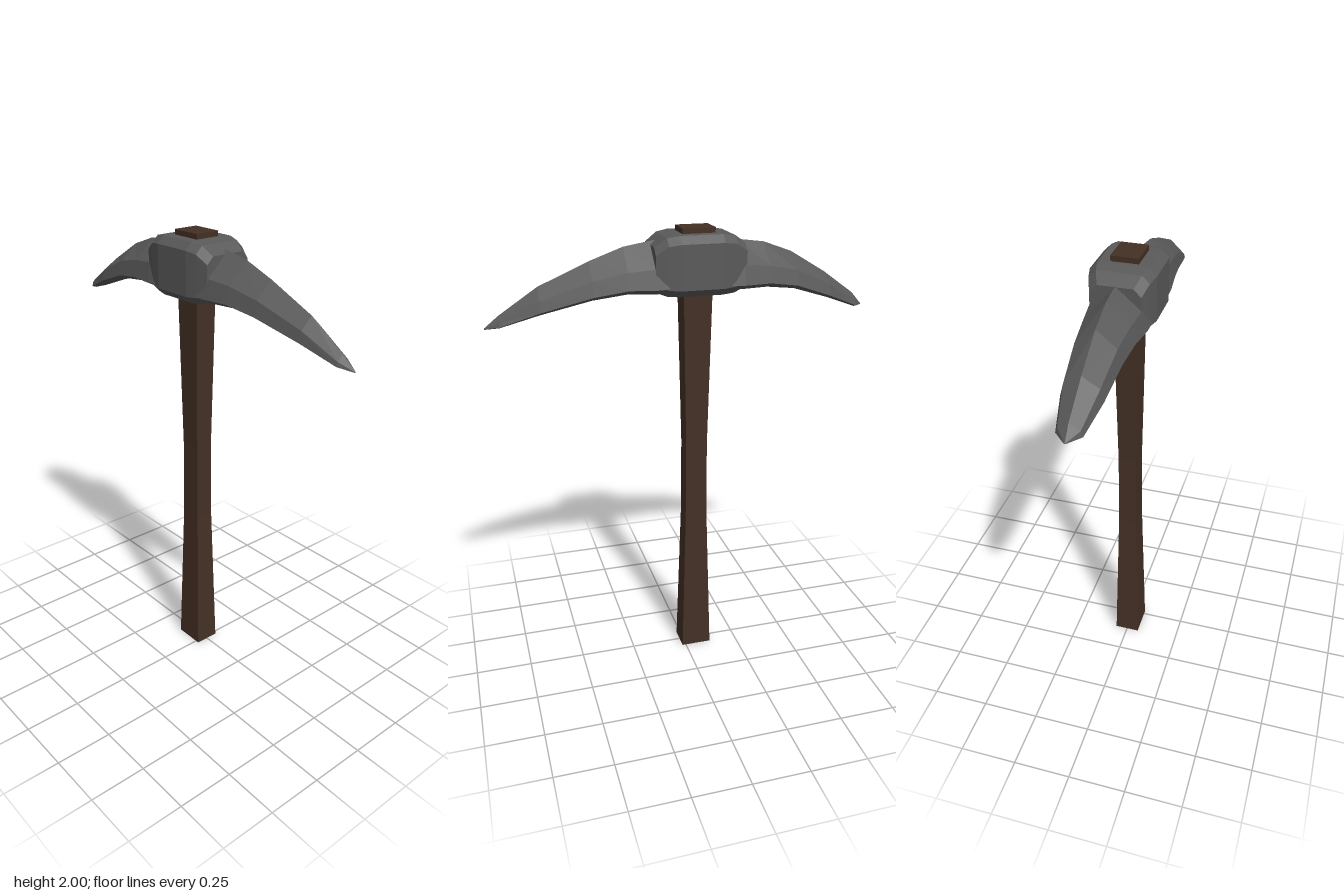
import * as THREE from 'three';

// Skin a list of closed rings (counter-clockwise about the loft direction) and cap both ends.
function loft(rings) {
  const pos = [];
  const tri = (a, b, c) => pos.push(...a, ...b, ...c);
  const n = rings[0].length;
  for (let i = 0; i < rings.length - 1; i++) {
    for (let j = 0; j < n; j++) {
      const k = (j + 1) % n;
      const [p, q] = [rings[i], rings[i + 1]];
      tri(p[j], p[k], q[k]);
      tri(p[j], q[k], q[j]);
    }
  }
  const first = rings[0], last = rings[rings.length - 1];
  for (let j = 1; j < n - 1; j++) {
    tri(first[0], first[j + 1], first[j]);
    tri(last[0], last[j], last[j + 1]);
  }
  const g = new THREE.BufferGeometry();
  g.setAttribute('position', new THREE.Float32BufferAttribute(pos, 3));
  g.computeVertexNormals();
  return g;
}

// Blade section: top ridge, shoulders, wide lower edges and a shallow keel.
function bladeRing([x, top, mid, bottom, w]) {
  const edge = bottom + (top - bottom) * 0.13;
  return [
    [x, top, 0], [x, mid, w * 0.84], [x, edge, w],
    [x, bottom, w * 0.55], [x, bottom, -w * 0.55],
    [x, edge, -w], [x, mid, -w * 0.84],
  ];
}

// Chamfered rectangular section for the socket block.
function blockRing([x, top, bottom, w]) {
  const c = 0.03;
  return [
    [x, top, w - c], [x, top - c, w], [x, bottom + c, w], [x, bottom, w - c],
    [x, bottom, c - w], [x, bottom + c, -w], [x, top - c, -w], [x, top, c - w],
  ];
}

export function createModel() {
  const iron = new THREE.MeshStandardMaterial({ color: 0x5a5a5a, flatShading: true });
  iron.name = 'dark iron';
  const wood = new THREE.MeshStandardMaterial({ color: 0x443025, flatShading: true });
  wood.name = 'dark wood';

  const model = new THREE.Group();
  model.name = 'pickaxe';
  const add = (name, rings, material) => {
    const mesh = new THREE.Mesh(loft(rings), material);
    mesh.name = name;
    model.add(mesh);
  };

  // Square handle with a slim waist: y, half width, half depth
  const hx = -0.052;
  add('handle', [
    [0, 0.069, 0.056], [0.7, 0.05, 0.041], [1.05, 0.048, 0.04], [1.75, 0.062, 0.05], [2, 0.07, 0.056],
  ].map(([y, w, d]) => [[hx - w, y, d], [hx + w, y, d], [hx + w, y, -d], [hx - w, y, -d]]), wood);

  // Socket block: x, top, bottom, half depth
  add('socketBlock', [
    [-0.245, 1.935, 1.755, 0.1], [-0.195, 1.97, 1.738, 0.118], [-0.14, 1.978, 1.735, 0.131],
    [0.04, 1.978, 1.735, 0.131], [0.09, 1.97, 1.738, 0.12], [0.14, 1.935, 1.755, 0.105],
  ].map(blockRing), iron);

  // Blades: x, ridge, shoulder, underside, half depth
  add('broadBlade', [
    [-0.82, 1.634, 1.632, 1.63, 0.003], [-0.775, 1.685, 1.66, 1.63, 0.05], [-0.635, 1.785, 1.745, 1.682, 0.08],
    [-0.475, 1.88, 1.815, 1.732, 0.095], [-0.35, 1.925, 1.84, 1.747, 0.107], [-0.235, 1.94, 1.852, 1.745, 0.122],
    [-0.12, 1.95, 1.855, 1.75, 0.125],
  ].map(bladeRing), iron);
  add('pointedBlade', [
    [0.02, 1.955, 1.855, 1.75, 0.125], [0.13, 1.95, 1.852, 1.745, 0.12], [0.25, 1.93, 1.842, 1.75, 0.106],
    [0.39, 1.88, 1.812, 1.732, 0.088], [0.6, 1.79, 1.742, 1.683, 0.06], [0.76, 1.685, 1.662, 1.638, 0.032],
    [0.82, 1.637, 1.635, 1.632, 0.003],
  ].map(bladeRing), iron);

  return model;
}
